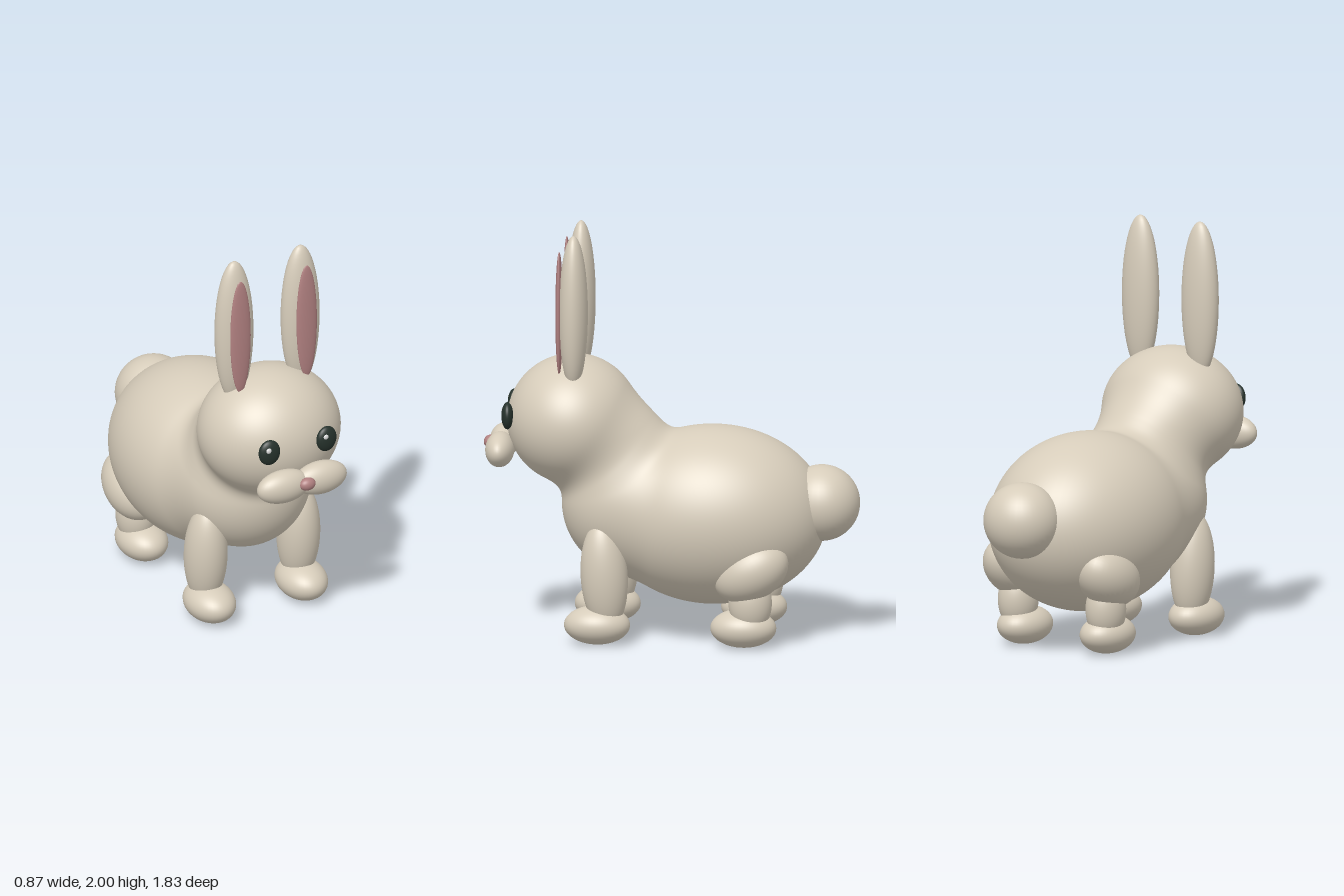
import * as THREE from 'three';
import { mergeVertices } from 'three/addons/utils/BufferGeometryUtils.js';

const material = (name, color) => {
  const m = new THREE.MeshStandardMaterial({ color });
  m.name = name;
  return m;
};

// Approximate distance from p to the ellipsoid with centre c and radii r
function ellipsoidDistance(p, [cx, cy, cz], [rx, ry, rz]) {
  const x = (p.x - cx) / rx, y = (p.y - cy) / ry, z = (p.z - cz) / rz;
  const k0 = Math.hypot(x, y, z);
  const k1 = Math.hypot(x / rx, y / ry, z / rz);
  return k1 < 1e-9 ? -Math.min(rx, ry, rz) : (k0 * (k0 - 1)) / k1;
}

function smoothMin(a, b, k) {
  const h = Math.max(k - Math.abs(a - b), 0) / k;
  return Math.min(a, b) - h * h * k * 0.25;
}

// Rump, chest, neck and head: [centre, radii]
const masses = [
  [[0, 0.605, -0.2], [0.435, 0.435, 0.55]],
  [[0, 0.66, 0.2], [0.335, 0.35, 0.335]],
  [[0, 0.9, 0.28], [0.27, 0.27, 0.27]],
  [[0, 1.06, 0.48], [0.355, 0.315, 0.32]],
];
const bodyDistance = p =>
  masses.map(([c, r]) => ellipsoidDistance(p, c, r)).reduce((a, b) => smoothMin(a, b, 0.08));

// Shrink a sphere onto the softly blended masses
function bodyGeometry() {
  const base = new THREE.SphereGeometry(1, 160, 110);
  base.deleteAttribute('uv');
  base.deleteAttribute('normal');
  const geo = mergeVertices(base, 1e-5);
  const pos = geo.attributes.position;
  const origin = new THREE.Vector3(0, 0.85, 0.2);
  const dir = new THREE.Vector3(), p = new THREE.Vector3();
  for (let i = 0; i < pos.count; i++) {
    dir.fromBufferAttribute(pos, i).normalize();
    let t = 1.6;
    for (let n = 0; n < 120; n++) {
      const d = bodyDistance(p.copy(origin).addScaledVector(dir, t));
      if (d < 1e-4) break;
      t -= d * 0.7;
    }
    pos.setXYZ(i, p.x, p.y, p.z);
  }
  geo.computeVertexNormals();
  return geo;
}

export function createModel() {
  const fur = material('fur', 0xd6ccba);
  const pink = material('pink', 0xb08080);
  const dark = material('eyeDark', 0x26322c);
  const glint = material('eyeGlint', 0xdddddd);

  const group = new THREE.Group();
  group.name = 'rabbit';
  const sphere = new THREE.SphereGeometry(1, 40, 28);

  const blob = (name, mat, position, radii, tiltX = 0, tiltY = 0) => {
    const mesh = new THREE.Mesh(sphere, mat);
    mesh.name = name;
    mesh.position.set(...position);
    mesh.scale.set(...radii);
    mesh.rotation.set(tiltX, tiltY, 0);
    group.add(mesh);
  };

  const body = new THREE.Mesh(bodyGeometry(), fur);
  body.name = 'bodyAndHead';
  group.add(body);

  blob('tail', fur, [0, 0.672, -0.725], [0.188, 0.185, 0.185]);
  blob('nose', pink, [0, 0.937, 0.885], [0.042, 0.032, 0.03]);

  for (const s of [1, -1]) {
    const side = s > 0 ? 'left' : 'right';
    // Ears
    blob(side + 'Ear', fur, [s * 0.18, 1.62, 0.462], [0.1, 0.38, 0.07]);
    blob(side + 'InnerEar', pink, [s * 0.18, 1.617, 0.531], [0.055, 0.303, 0.018]);
    // Face
    blob(side + 'Eye', dark, [s * 0.155, 1.1, 0.785], [0.055, 0.066, 0.029], 0, s * 0.1);
    blob(side + 'EyeGlint', glint, [s * 0.155 - 0.014, 1.122, 0.808], [0.014, 0.014, 0.008]);
    blob(side + 'Muzzle', fur, [s * 0.1, 0.922, 0.827], [0.14, 0.084, 0.07]);
    // Front leg
    blob(side + 'FrontLeg', fur, [s * 0.252, 0.34, 0.305], [0.104, 0.27, 0.114], 0.06);
    blob(side + 'FrontFoot', fur, [s * 0.25, 0.098, 0.34], [0.12, 0.094, 0.16]);
    // Back leg
    blob(side + 'Thigh', fur, [s * 0.28, 0.385, -0.41], [0.14, 0.14, 0.192], 0.5);
    blob(side + 'LowerBackLeg', fur, [s * 0.265, 0.225, -0.405], [0.095, 0.15, 0.105]);
    blob(side + 'BackFoot', fur, [s * 0.25, 0.098, -0.37], [0.12, 0.094, 0.16]);
  }
  return group;
}
